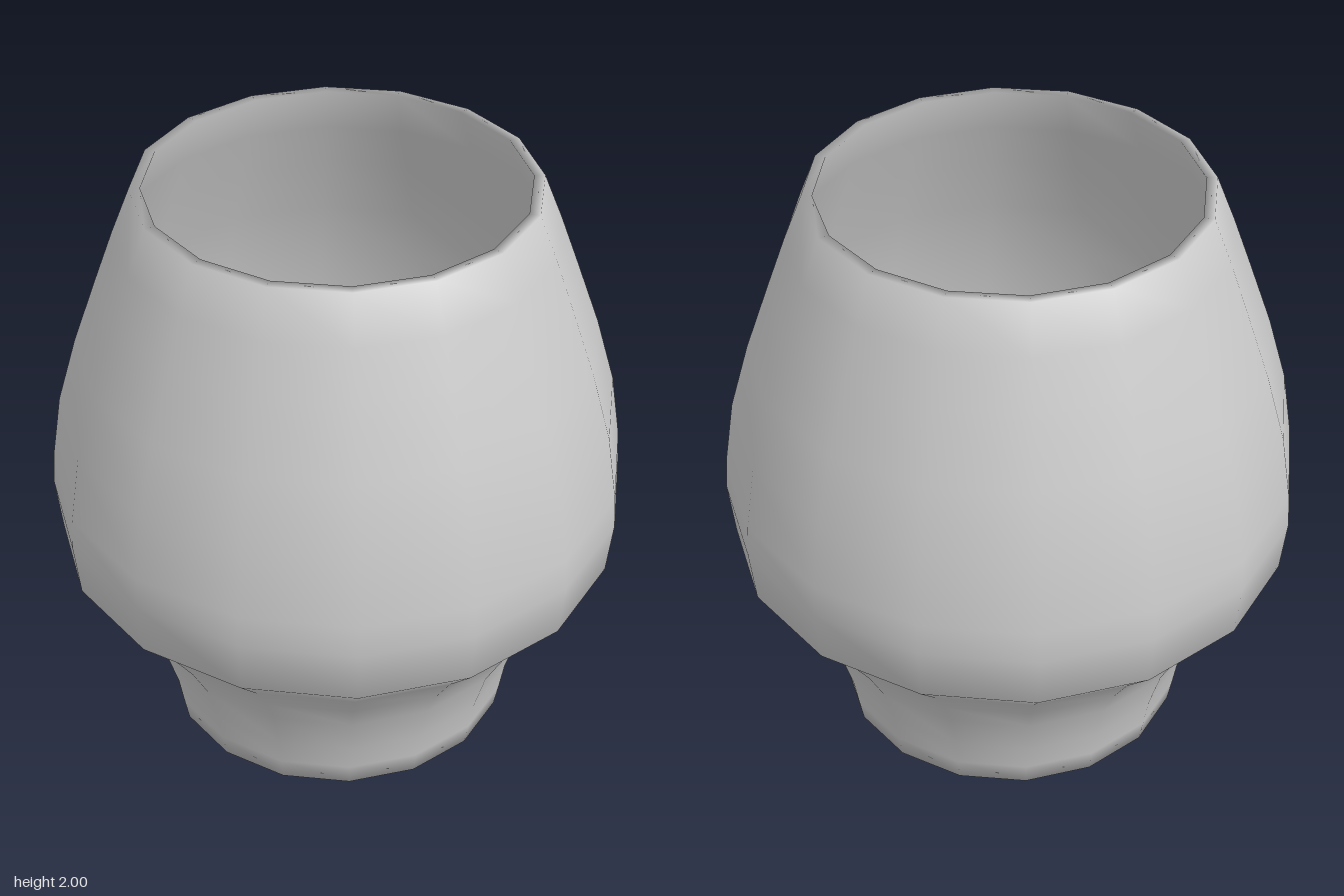
import * as THREE from 'three';

const SIDES = 16;
const WALL = 0.035;

// Outer half-profile [radius, height], foot to rim
const OUTER = [
  [0.578, 0.02], [0.593, 0.1], [0.61, 0.2], [0.655, 0.35], [0.72, 0.47],
  [0.80, 0.585], [0.928, 0.717], [0.947, 0.9], [0.94, 1.01], [0.905, 1.235],
  [0.84, 1.46], [0.76, 1.685], [0.70, 1.85], [0.64, 2],
].map(([r, y]) => new THREE.Vector2(r, y));

// Inner wall: the outer profile moved inward along its normal, rim kept level
function innerWall() {
  const last = OUTER.length - 1;
  return OUTER.map((p, i) => {
    if (i === 0) return new THREE.Vector2(0.553, 0.05);
    if (i === last) return new THREE.Vector2(p.x - WALL, p.y);
    const t = OUTER[i + 1].clone().sub(OUTER[i - 1]).normalize();
    return new THREE.Vector2(p.x - t.y * WALL, p.y + t.x * WALL);
  });
}

export function createModel() {
  const group = new THREE.Group();
  group.name = 'vase';

  // Closed thin-walled section: underside, outside, rim, inside, floor
  const profile = [
    new THREE.Vector2(0, 0),
    ...OUTER,
    ...innerWall().reverse(),
    new THREE.Vector2(0, 0.04),
  ];
  const body = new THREE.Mesh(
    new THREE.LatheGeometry(profile, SIDES),
    new THREE.MeshStandardMaterial({ color: 0xcccccc })
  );
  body.name = 'vaseBody';
  group.add(body);
  return group;
}
